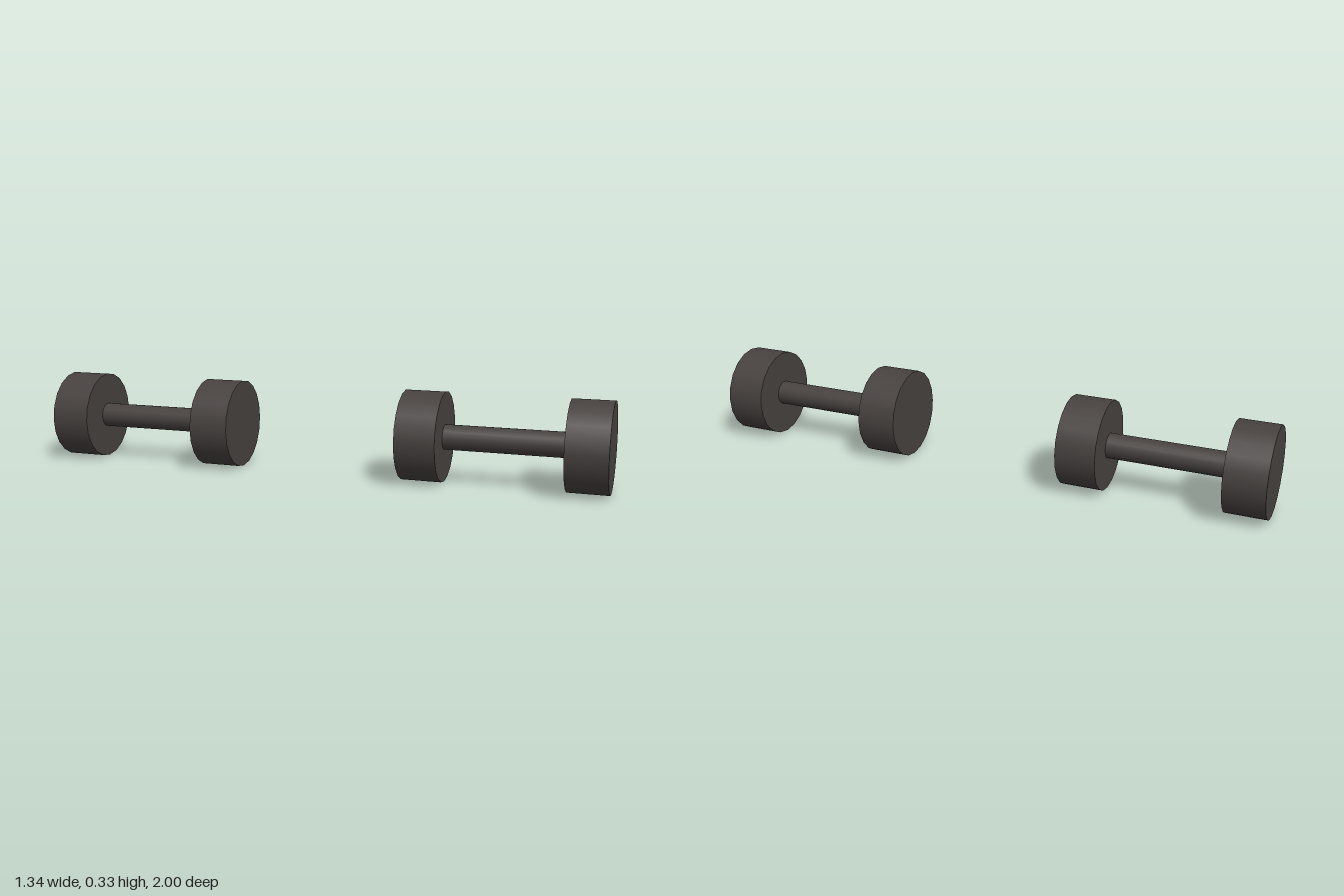
import * as THREE from 'three';

const RADIUS = 0.165, THICKNESS = 0.148, REACH = 0.295, ROD = 0.046, SIDES = 20;

export function createModel() {
  const iron = new THREE.MeshStandardMaterial({ color: 0x474240 });
  iron.name = 'darkIron';

  // Cylinder lying along z
  const barrel = (name, radius, length, z) => {
    const geometry = new THREE.CylinderGeometry(radius, radius, length, SIDES).rotateX(Math.PI / 2);
    const mesh = new THREE.Mesh(geometry, iron);
    mesh.name = name;
    mesh.position.z = z;
    return mesh;
  };

  // One dumbbell: handle with a weight at each end
  const dumbbell = (name, x, z) => {
    const group = new THREE.Group();
    group.name = name;
    group.add(
      barrel('handle', ROD, 2 * REACH - THICKNESS + 0.02, 0),
      barrel('frontWeight', RADIUS, THICKNESS, REACH),
      barrel('backWeight', RADIUS, THICKNESS, -REACH)
    );
    group.position.set(x, RADIUS, z);
    group.rotation.y = Math.PI / 6;
    return group;
  };

  const model = new THREE.Group();
  model.name = 'dumbbellPair';
  model.add(dumbbell('leftDumbbell', 0.345, 0.598), dumbbell('rightDumbbell', -0.345, -0.598));
  return model;
}
